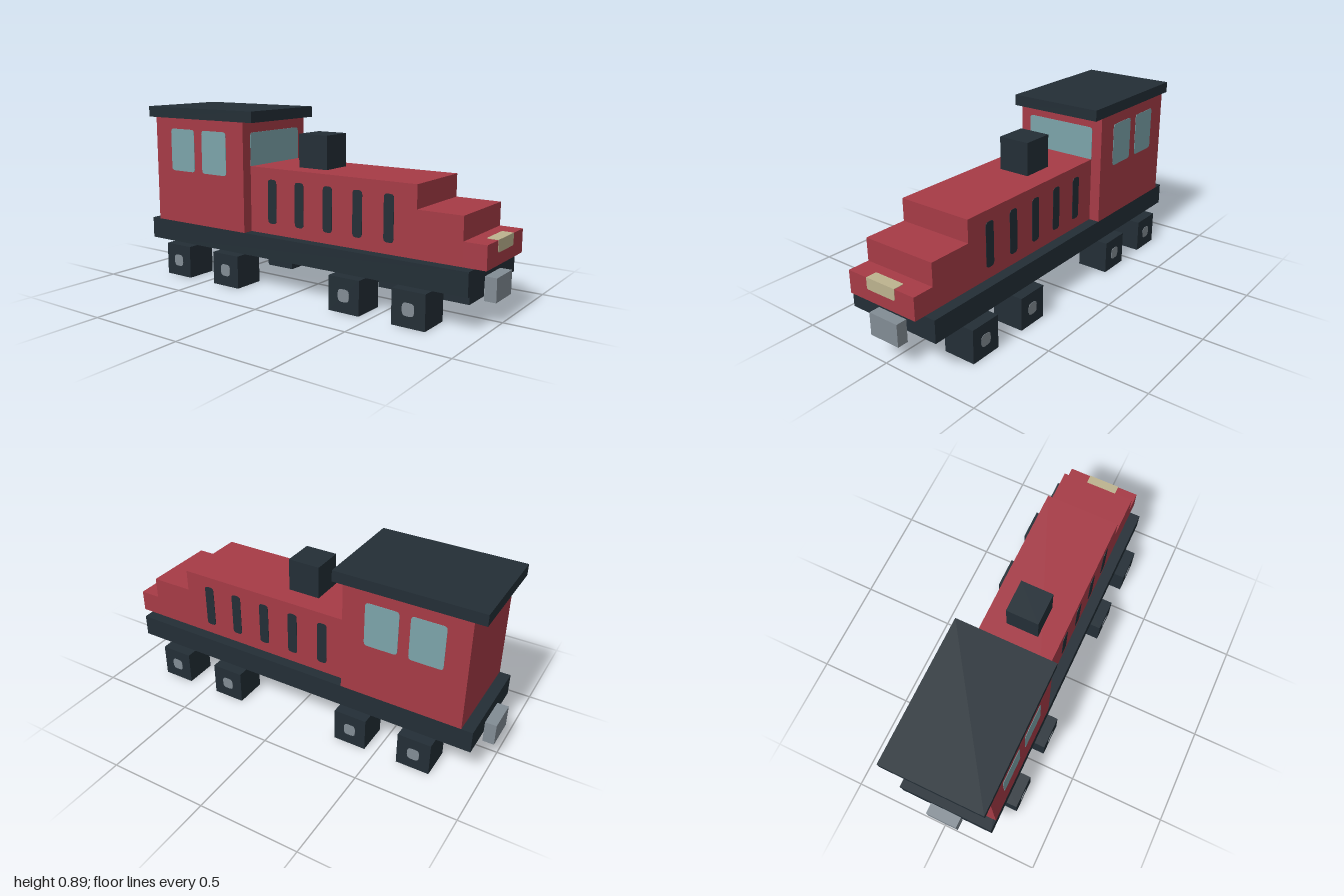
import * as THREE from 'three';

const material = (name, color) => {
  const m = new THREE.MeshStandardMaterial({ color });
  m.name = name;
  return m;
};

export function createModel() {
  const model = new THREE.Group();
  model.name = 'locomotive';
  const red = material('red paint', 0xa63b46);
  const dark = material('dark metal', 0x232e36);
  const glass = material('window glass', 0x7ca4aa);
  const cream = material('lamp cream', 0xbdb38f);
  const grey = material('grey steel', 0x828c94);

  // Box given by its limits along each axis
  const box = (name, mat, x0, x1, y0, y1, z0, z1) => {
    const mesh = new THREE.Mesh(new THREE.BoxGeometry(x1 - x0, y1 - y0, z1 - z0), mat);
    mesh.position.set((x0 + x1) / 2, (y0 + y1) / 2, (z0 + z1) / 2);
    mesh.name = name;
    model.add(mesh);
  };

  // Thin plate facing +z with rounded bottom (rb) and top (rt) corners
  const plate = (name, mat, w, h, rb, rt, x, y, z, rotX = 0, rotY = 0, rotZ = 0) => {
    const a = w / 2, b = h / 2;
    const s = new THREE.Shape();
    s.moveTo(-a + rb, -b);
    s.lineTo(a - rb, -b);
    if (rb) s.quadraticCurveTo(a, -b, a, -b + rb);
    s.lineTo(a, b - rt);
    if (rt) s.quadraticCurveTo(a, b, a - rt, b);
    s.lineTo(-a + rt, b);
    if (rt) s.quadraticCurveTo(-a, b, -a, b - rt);
    s.lineTo(-a, -b + rb);
    if (rb) s.quadraticCurveTo(-a, -b, -a + rb, -b);
    const geo = new THREE.ExtrudeGeometry(s, { depth: 0.003, bevelEnabled: false, curveSegments: 3 });
    const mesh = new THREE.Mesh(geo, mat);
    mesh.position.set(x, y, z);
    mesh.rotation.set(rotX, rotY, rotZ);
    mesh.name = name;
    model.add(mesh);
  };

  // Frame, cab and roof
  box('chassis', dark, -0.944, 0.944, 0.167, 0.278, -0.25, 0.25);
  box('cab', red, -0.889, -0.278, 0.278, 0.833, -0.25, 0.25);
  box('roof', dark, -0.944, -0.222, 0.833, 0.889, -0.25, 0.25);

  // Hood stepping down to the nose
  box('hood', red, -0.278, 0.667, 0.278, 0.611, -0.194, 0.194);
  box('noseStep', red, 0.667, 0.889, 0.278, 0.5, -0.194, 0.194);
  box('nose', red, 0.889, 0.998, 0.278, 0.389, -0.194, 0.194);
  box('chimney', dark, -0.056, 0.111, 0.611, 0.778, -0.083, 0.083);

  // Couplers at both ends
  for (const s of [-1, 1]) {
    box('coupler', grey, s * 0.972 - 0.028, s * 0.972 + 0.028, 0.111, 0.222, -0.083, 0.083);
  }

  // Headlamp wraps over the nose edge
  plate('headlampFront', cream, 0.167, 0.055, 0.01, 0, 0.997, 0.362, 0, 0, Math.PI / 2);
  const lampTop = new THREE.Euler().setFromRotationMatrix(new THREE.Matrix4().makeBasis(
    new THREE.Vector3(0, 0, 1), new THREE.Vector3(-1, 0, 0), new THREE.Vector3(0, 1, 0).multiplyScalar(1)));
  plate('headlampTop', cream, 0.167, 0.056, 0, 0.01, 0.972, 0.388, 0, lampTop.x, lampTop.y, lampTop.z);

  // Cab front window
  plate('frontWindow', glass, 0.389, 0.168, 0, 0.018, -0.279, 0.695, 0, 0, Math.PI / 2);

  // Details repeated on both sides
  for (const side of [-1, 1]) {
    const turn = side > 0 ? 0 : Math.PI;
    for (const x of [-0.695, -0.475]) {
      plate('sideWindow', glass, 0.166, 0.222, 0.018, 0.018, x, 0.667, side * 0.249, 0, turn);
    }
    for (let i = 0; i < 5; i++) {
      plate('vent', dark, 0.052, 0.222, 0.018, 0.018, -0.14 + i * 0.1667, 0.444, side * 0.193, 0, turn);
    }
    for (const x of [-0.695, -0.361, 0.361, 0.695]) {
      const z = side * 0.222;
      box('wheel', dark, x - 0.083, x + 0.083, 0, 0.167, z - 0.083, z + 0.083);
      plate('hub', grey, 0.06, 0.06, 0.02, 0.02, x, 0.083, side * 0.304, 0, turn);
    }
  }
  return model;
}
